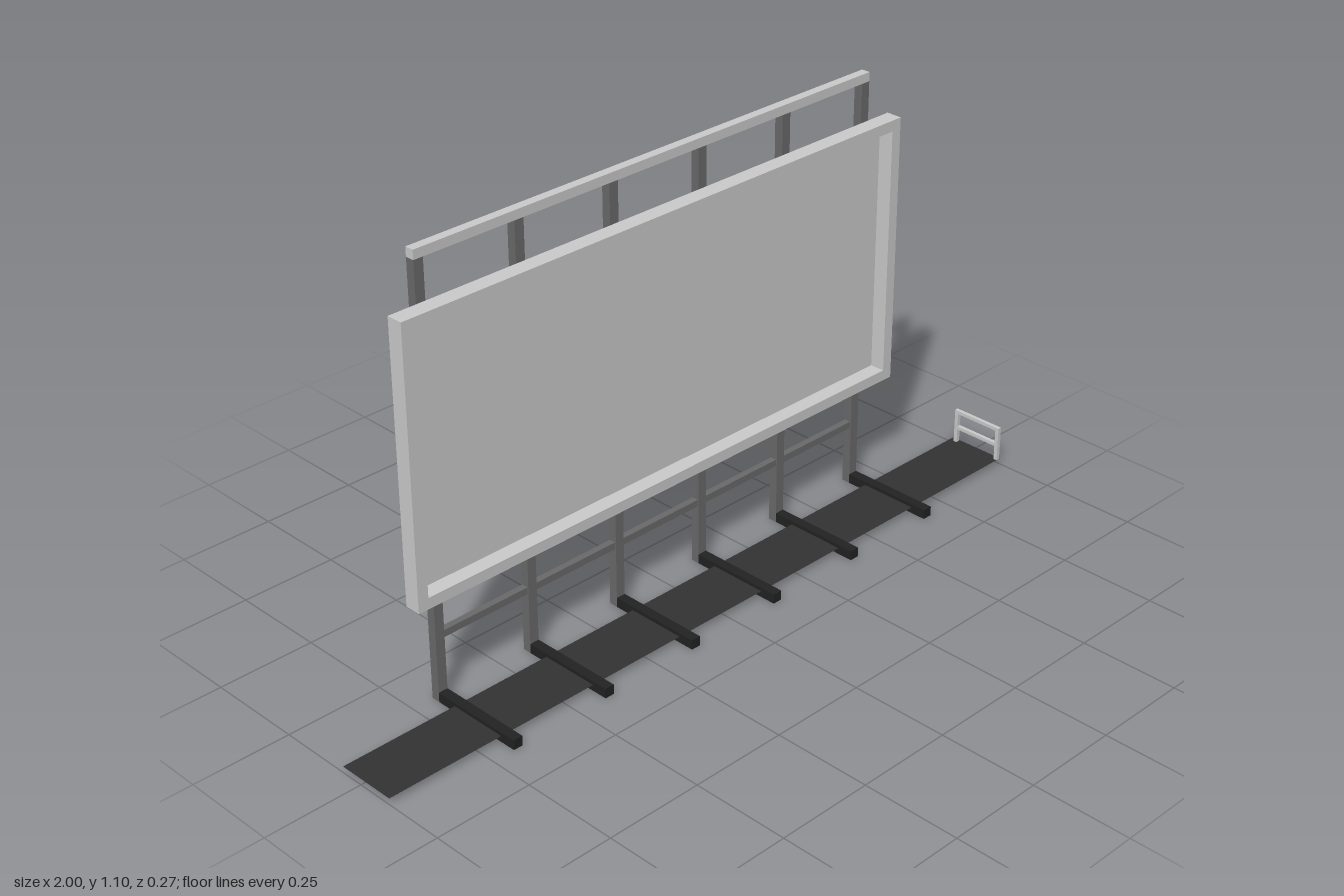
import * as THREE from 'three';

const paint = (color) => new THREE.MeshStandardMaterial({ color });

export function createModel() {
  const model = new THREE.Group();
  const grey = paint(0xcccccc);
  const postGrey = paint(0x6a6a6a);
  const dark = paint(0x222222);
  const deck = paint(0x333333);
  deck.side = THREE.DoubleSide;

  // Box given by its lower and upper limits on each axis
  const box = (name, [x0, x1], [y0, y1], [z0, z1], material, parent = model) => {
    const mesh = new THREE.Mesh(new THREE.BoxGeometry(x1 - x0, y1 - y0, z1 - z0), material);
    mesh.position.set((x0 + x1) / 2, (y0 + y1) / 2, (z0 + z1) / 2);
    mesh.name = name;
    parent.add(mesh);
    return mesh;
  };

  const postZ = [-0.136, -0.113];
  const left = -0.692, right = 0.68, top = 1.102, barHeight = 0.023;

  // Six L-shaped supports: upright post and forward foot
  const postCount = 6, postWidth = 0.025;
  for (let i = 0; i < postCount; i++) {
    const x = left + (i * (right - left - postWidth)) / (postCount - 1);
    const support = new THREE.Group();
    support.name = 'support' + (i + 1);
    box('post', [x, x + postWidth], [0, top - barHeight], postZ, postGrey, support);
    box('foot', [x, x + postWidth], [0, 0.025], [postZ[1], 0.136], dark, support);
    model.add(support);
  }

  // Horizontal beams joining the posts
  box('topBeam', [left, right], [top - barHeight, top], postZ, grey);
  box('lowerBeam', [left + 0.01, right - 0.01], [0.158, 0.176], [-0.133, -0.116], postGrey);

  // Display panel: deep frame around a recessed board
  const px = [-0.765, 0.75], py = [0.285, 0.98], border = 0.028;
  const rectangle = (PathType, inset) => new PathType([
    [px[0] + inset, py[0] + inset], [px[1] - inset, py[0] + inset],
    [px[1] - inset, py[1] - inset], [px[0] + inset, py[1] - inset],
  ].map(([x, y]) => new THREE.Vector2(x, y)));
  const outline = rectangle(THREE.Shape, 0);
  outline.holes.push(rectangle(THREE.Path, border));
  const frame = new THREE.Mesh(
    new THREE.ExtrudeGeometry(outline, { depth: 0.0415, bevelEnabled: false }), grey);
  frame.position.z = postZ[1];
  frame.name = 'panelFrame';
  model.add(frame);
  box('panelBoard', [px[0] + border, px[1] - border], [py[0] + border, py[1] - border],
    [postZ[1], postZ[1] + 0.002], grey);

  // Thin walkway passing through the feet
  const walkway = new THREE.Mesh(new THREE.PlaneGeometry(2, 0.155), deck);
  walkway.rotation.x = -Math.PI / 2;
  walkway.position.set(0, 0.016, 0.018);
  walkway.name = 'walkway';
  model.add(walkway);

  // Guard rail at the walkway's left end
  const rail = new THREE.Group();
  rail.name = 'guardRail';
  const rx = [0.986, 0.996];
  for (const z of [-0.047, 0.086]) {
    box('railPost', rx, [0.016, 0.099], [z, z + 0.01], grey, rail);
  }
  box('railTop', rx, [0.099, 0.108], [-0.047, 0.096], grey, rail);
  box('railMiddle', rx, [0.054, 0.063], [-0.037, 0.086], grey, rail);
  model.add(rail);

  return model;
}
